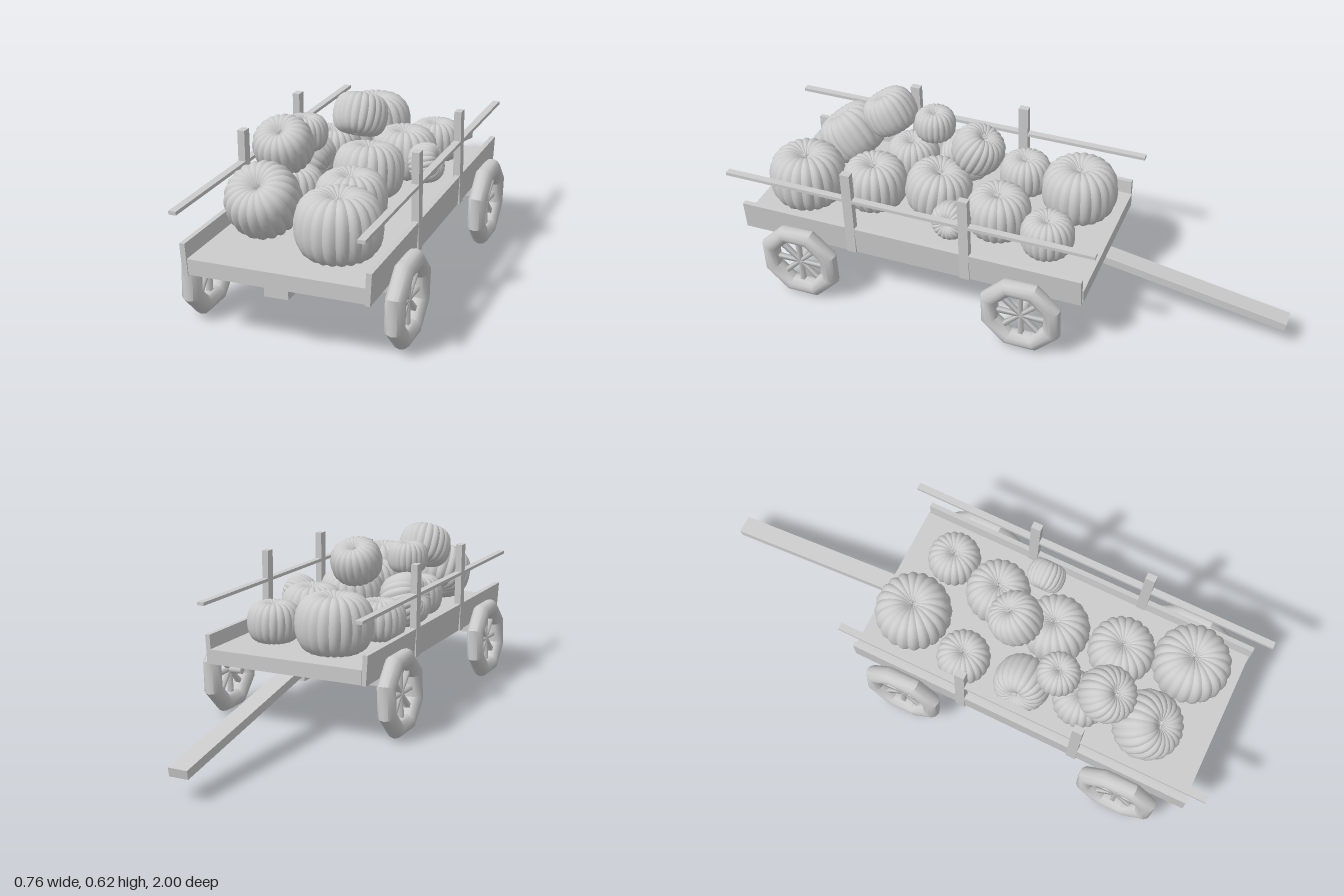
import * as THREE from 'three';
import { toCreasedNormals } from 'three/addons/utils/BufferGeometryUtils.js';

const material = new THREE.MeshStandardMaterial({ color: 0xcccccc });

function addMesh(parent, name, geometry, x = 0, y = 0, z = 0) {
  const mesh = new THREE.Mesh(geometry, material);
  mesh.name = name;
  mesh.position.set(x, y, z);
  parent.add(mesh);
  return mesh;
}

const box = (w, h, d) => new THREE.BoxGeometry(w, h, d);

// Unit pumpkin: squashed lathe with a dimpled top, pinched into sharp-valleyed ribs
function pumpkinGeometry(ribs = 20) {
  const profile = new THREE.SplineCurve([
    [0, -0.68], [0.25, -0.74], [0.5, -0.74], [0.78, -0.63], [0.95, -0.36], [1, 0],
    [0.95, 0.36], [0.78, 0.63], [0.5, 0.75], [0.27, 0.71], [0.1, 0.6], [0, 0.56],
  ].map(([r, y]) => new THREE.Vector2(r, y)));
  const points = profile.getPoints(20);
  points.forEach((p) => { p.x = Math.max(0, p.x); });
  const geometry = new THREE.LatheGeometry(points, ribs * 4);
  const pos = geometry.attributes.position;
  for (let i = 0; i < pos.count; i++) {
    const x = pos.getX(i), y = pos.getY(i), z = pos.getZ(i);
    const bulge = Math.abs(Math.sin(Math.atan2(x, z) * ribs / 2));
    const k = 0.94 + 0.06 * bulge;
    pos.setXYZ(i, x * k, y * (0.97 + 0.03 * bulge), z * k);
  }
  return toCreasedNormals(geometry, 0.6);
}

// Octagonal wheel with a round rim, eight spokes and a small hub
function makeWheel(name, x, z) {
  const wheel = new THREE.Group();
  wheel.name = name;
  const rim = new THREE.TorusGeometry(0.124, 0.033, 12, 8);
  rim.rotateZ(Math.PI / 8).rotateY(Math.PI / 2);
  addMesh(wheel, 'rim', toCreasedNormals(rim, 0.65));
  for (let i = 0; i < 8; i++) {
    const spoke = new THREE.CylinderGeometry(0.013, 0.009, 0.105, 4);
    spoke.rotateY(Math.PI / 4).translate(0, 0.056, 0).rotateX((i * Math.PI) / 4);
    addMesh(wheel, 'spoke', spoke);
  }
  const hub = new THREE.CylinderGeometry(0.015, 0.015, 0.06, 8).rotateZ(Math.PI / 2);
  addMesh(wheel, 'hub', hub, -Math.sign(x) * 0.025);
  wheel.position.set(x, 0.146, z);
  wheel.rotation.z = -0.035;
  return wheel;
}

export function createModel() {
  const wagon = new THREE.Group();
  wagon.name = 'pumpkinWagon';

  // Bed and running gear
  addMesh(wagon, 'bedFloor', box(0.585, 0.052, 1.285), -0.002, 0.249, 0.303);
  addMesh(wagon, 'centreBeam', box(0.08, 0.037, 1.2), -0.005, 0.204, 0.33);
  for (const [end, z] of [['front', 0.72], ['back', -0.13]]) {
    addMesh(wagon, end + 'Axle', box(0.587, 0.045, 0.05), -0.002, 0.19, z);
    wagon.add(makeWheel(end + 'LeftWheel', 0.339, z));
    wagon.add(makeWheel(end + 'RightWheel', -0.343, z));
  }

  // Sloping tongue
  const slope = Math.atan2(0.117, 0.66);
  const tongue = addMesh(wagon, 'tongue', box(0.067, 0.03, 0.8), -0.005, 0.158, -0.604);
  tongue.rotation.x = -slope;

  // Side boards, posts and rails
  for (const side of [-1, 1]) {
    const x = side * 0.3 - 0.002;
    const name = side > 0 ? 'left' : 'right';
    const board = addMesh(wagon, name + 'Board', box(0.018, 0.106, 1.285), x, 0.273, 0.307);
    board.rotation.z = -side * 0.06;
    for (const z of [0.523, 0.089]) {
      addMesh(wagon, name + 'Post', box(0.025, 0.335, 0.036), x, 0.3875, z);
    }
    addMesh(wagon, name + 'Rail', box(0.025, 0.012, 1.38), x, 0.445, 0.31);
  }

  // Pumpkins: x, y, z, radius, tilt about x, tilt about z
  const pumpkin = pumpkinGeometry();
  [
    [-0.12, 0.381, -0.19, 0.138, 0, 0],
    [0.135, 0.352, -0.155, 0.097, 0, 0],
    [-0.185, 0.352, 0.04, 0.097, 0, 0],
    [0.085, 0.365, 0.045, 0.117, 0, 0],
    [0.21, 0.385, 0.175, 0.07, 0, -1.25],
    [-0.033, 0.528, 0.165, 0.096, -0.45, 0],
    [-0.185, 0.378, 0.27, 0.102, 0, 1.2],
    [0.045, 0.378, 0.29, 0.122, -0.15, 0],
    [-0.145, 0.517, 0.38, 0.077, 0, 0],
    [-0.145, 0.355, 0.475, 0.1, 0, 0],
    [-0.142, 0.533, 0.557, 0.1, 0.5, 0],
    [0.077, 0.368, 0.53, 0.12, 0, 0],
    [-0.14, 0.405, 0.72, 0.123, 0.62, 0],
    [0.135, 0.381, 0.77, 0.139, 0, 0],
  ].forEach(([x, y, z, r, tiltX, tiltZ], i) => {
    const mesh = addMesh(wagon, 'pumpkin' + (i + 1), pumpkin, x, y, z);
    mesh.scale.setScalar(r);
    mesh.rotation.set(tiltX, 0, tiltZ);
  });

  return wagon;
}
